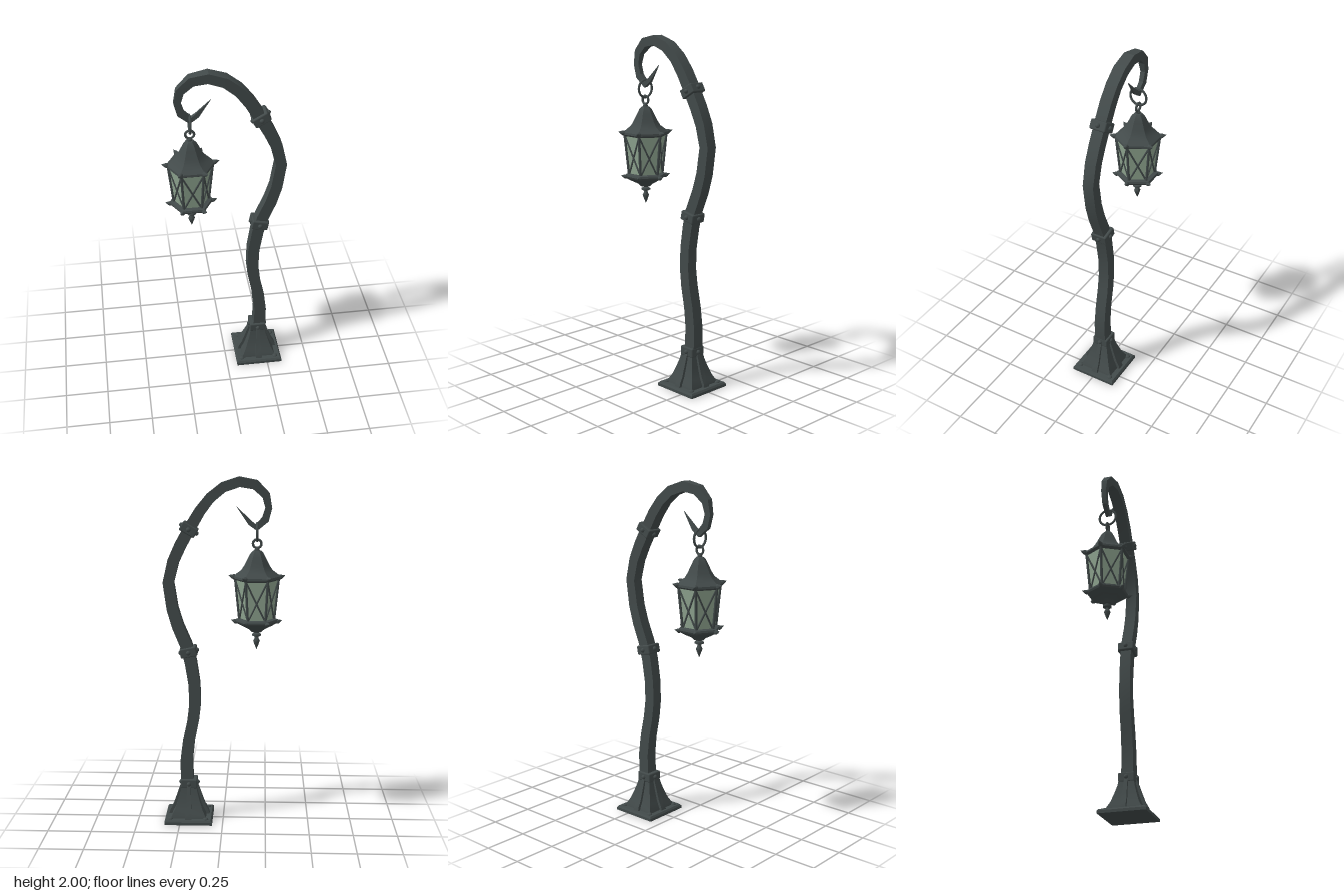
import * as THREE from 'three';
import { toCreasedNormals } from 'three/addons/utils/BufferGeometryUtils.js';
import { RoundedBoxGeometry } from 'three/addons/geometries/RoundedBoxGeometry.js';

export function createModel() {
  const root = new THREE.Group();
  root.name = 'streetLantern';
  const metal = new THREE.MeshStandardMaterial({ color: 0x424a4a });
  metal.name = 'dark iron';
  const glass = new THREE.MeshStandardMaterial({ color: 0x8ea48f });
  glass.name = 'pale green glass';

  const add = (parent, name, geo, mat = metal, x = 0, y = 0, z = 0) => {
    const m = new THREE.Mesh(geo, mat);
    m.name = name;
    m.position.set(x, y, z);
    parent.add(m);
    return m;
  };
  const group = (name, x, y) => {
    const g = new THREE.Group();
    g.name = name;
    g.position.set(x, y, 0);
    root.add(g);
    return g;
  };
  // Faceted lathe; profile runs from bottom to top as [radius, y]
  const lathe = (profile, sides, start, crease = 0.5) => toCreasedNormals(
    new THREE.LatheGeometry(profile.map(p => new THREE.Vector2(...p)), sides, start), crease);

  // Rectangular section swept along a path of [x, y, halfWidth, halfDepth]
  const sweep = (path) => {
    const pos = [], idx = [];
    path.forEach(([x, y, w, d], i) => {
      const a = path[Math.max(i - 1, 0)], b = path[Math.min(i + 1, path.length - 1)];
      const l = Math.hypot(b[0] - a[0], b[1] - a[1]);
      const nx = -(b[1] - a[1]) / l * w, ny = (b[0] - a[0]) / l * w;
      pos.push(x + nx, y + ny, d, x - nx, y - ny, d, x - nx, y - ny, -d, x + nx, y + ny, -d);
      if (i === 0) return;
      for (let k = 0; k < 4; k++) {
        const p = (i - 1) * 4 + k, q = (i - 1) * 4 + (k + 1) % 4;
        idx.push(p, q, q + 4, p, q + 4, p + 4);
      }
    });
    const g = new THREE.BufferGeometry();
    g.setAttribute('position', new THREE.Float32BufferAttribute(pos, 3));
    g.setIndex(idx);
    return toCreasedNormals(g, 0.45);
  };

  // Crooked post ending in a pointed hook
  add(root, 'crookedPost', sweep([
    [0.2, 0.15, 0.036, 0.036], [0.212, 0.26, 0.036, 0.035], [0.214, 0.36, 0.035, 0.034],
    [0.2, 0.48, 0.034, 0.033], [0.175, 0.6, 0.033, 0.033], [0.163, 0.7, 0.033, 0.032],
    [0.166, 0.82, 0.033, 0.032], [0.186, 0.95, 0.034, 0.032], [0.212, 1.05, 0.034, 0.032],
    [0.258, 1.16, 0.033, 0.032], [0.288, 1.26, 0.032, 0.032], [0.31, 1.41, 0.031, 0.032],
    [0.281, 1.53, 0.032, 0.033], [0.24, 1.62, 0.033, 0.033], [0.19, 1.71, 0.033, 0.033],
    [0.13, 1.81, 0.031, 0.034], [0.073, 1.883, 0.029, 0.034], [0, 1.942, 0.028, 0.034],
    [-0.09, 1.972, 0.028, 0.031], [-0.178, 1.956, 0.027, 0.024], [-0.238, 1.898, 0.023, 0.018],
    [-0.253, 1.828, 0.019, 0.014], [-0.235, 1.765, 0.021, 0.013], [-0.185, 1.72, 0.019, 0.011],
    [-0.15, 1.745, 0.013, 0.009], [-0.075, 1.835, 0.001, 0.001],
  ]));

  // Banded collars with a rivet on every face
  for (const [x, y, tilt] of [[0.2, 0.22, 0], [0.198, 1.01, -0.2], [0.192, 1.71, 0.53]]) {
    const collar = group('collar', x, y);
    collar.rotation.z = tilt;
    add(collar, 'collarBand', new RoundedBoxGeometry(0.096, 0.054, 0.096, 1, 0.007));
    for (let k = 0; k < 4; k++) {
      const a = k * Math.PI / 2;
      const rivet = add(collar, 'collarRivet', new THREE.SphereGeometry(0.014, 8, 6), metal,
        Math.sin(a) * 0.048, 0, Math.cos(a) * 0.048);
      rivet.scale.setScalar(0.95);
    }
  }

  // Square base: plate, flared foot, ribs and corner bolts
  const base = group('base', 0.2, 0);
  const r2 = Math.SQRT2;
  add(base, 'basePlate', lathe([[0, 0], [0.139 * r2, 0], [0.139 * r2, 0.016], [0.131 * r2, 0.026], [0, 0.026]],
    4, Math.PI / 4));
  add(base, 'flaredFoot', lathe([[0.102, 0.024], [0.098, 0.04], [0.08, 0.075], [0.063, 0.125], [0.05, 0.17],
    [0.042, 0.21]].map(([r, y]) => [r * r2, y]), 4, Math.PI / 4));
  for (let k = 0; k < 4; k++) {
    const side = new THREE.Group();
    side.name = 'baseSide';
    side.rotation.y = k * Math.PI / 2;
    base.add(side);
    add(side, 'footRib', sweep([[0.112, 0.024, 0.008, 0.019], [0.104, 0.045, 0.01, 0.018], [0.085, 0.08, 0.01, 0.016],
      [0.067, 0.13, 0.01, 0.013], [0.054, 0.175, 0.008, 0.011], [0.044, 0.21, 0.006, 0.01]]));
    add(side, 'cornerBolt', new THREE.SphereGeometry(0.016, 10, 6), metal, 0.101, 0.025, 0.106).scale.y = 0.7;
  }

  // Hanging rings
  const lantern = group('lantern', -0.19, 0);
  add(lantern, 'hookRing', new THREE.TorusGeometry(0.05, 0.007, 6, 20), metal, 0, 1.695).rotation.y = Math.PI / 2;
  add(lantern, 'roofRing', new THREE.TorusGeometry(0.024, 0.007, 6, 16), metal, 0, 1.63);
  add(lantern, 'roofKnob', new THREE.SphereGeometry(0.014, 8, 6), metal, 0, 1.597);

  // Six-sided roof, glass body and floor, with corners on the x axis
  const X = Math.PI / 2;
  add(lantern, 'roof', lathe([[0, 1.425], [0.122, 1.425], [0.137, 1.435], [0.135, 1.447], [0.115, 1.462],
    [0.088, 1.482], [0.07, 1.51], [0.05, 1.55], [0.036, 1.578], [0.022, 1.592], [0, 1.595]], 6, X));
  add(lantern, 'glassPanes', lathe([[0.095, 1.2], [0.12, 1.43]], 6, X), glass);
  add(lantern, 'lanternFloor', lathe([[0, 1.125], [0.028, 1.127], [0.045, 1.143], [0.085, 1.162], [0.118, 1.18],
    [0.124, 1.19], [0.12, 1.201], [0.1, 1.206], [0, 1.206]], 6, X));
  add(lantern, 'finial', lathe([[0, 1.025], [0.01, 1.05], [0.019, 1.075], [0.012, 1.09], [0.01, 1.1], [0.026, 1.106],
    [0.026, 1.116], [0.012, 1.122], [0.014, 1.135]], 8, 0, 0.9));

  // Corner posts, crossed bars and corner horns
  const corner = (k, r, y) => new THREE.Vector3(Math.cos(k * Math.PI / 3) * r, y, Math.sin(k * Math.PI / 3) * r);
  const up = new THREE.Vector3(0, 1, 0);
  const bar = (name, a, b, t) => {
    const d = b.clone().sub(a);
    const m = add(lantern, name, new THREE.CylinderGeometry(t, t, d.length(), 6));
    m.position.copy(a).add(b).multiplyScalar(0.5);
    m.quaternion.setFromUnitVectors(up, d.normalize());
  };
  const horn = (k, r, y, size) => {
    const dir = corner(k, 1, 0.3).normalize();
    const m = add(lantern, 'cornerHorn', lathe([[0, -0.016], [0.012, -0.012], [0.017, 0], [0.013, 0.012],
      [0.006, 0.024], [0, 0.036]], 7, 0, 0.9));
    m.position.copy(corner(k, r, y));
    m.quaternion.setFromUnitVectors(up, dir);
    m.scale.setScalar(size);
  };
  for (let k = 0; k < 6; k++) {
    bar('cornerPost', corner(k, 0.098, 1.195), corner(k, 0.123, 1.435), 0.008);
    bar('crossBar', corner(k, 0.097, 1.2), corner(k + 1, 0.122, 1.43), 0.0055);
    bar('crossBar', corner(k + 1, 0.097, 1.2), corner(k, 0.122, 1.43), 0.0055);
    horn(k, 0.129, 1.443, 0.92);
    horn(k, 0.119, 1.188, 0.8);
  }
  return root;
}
